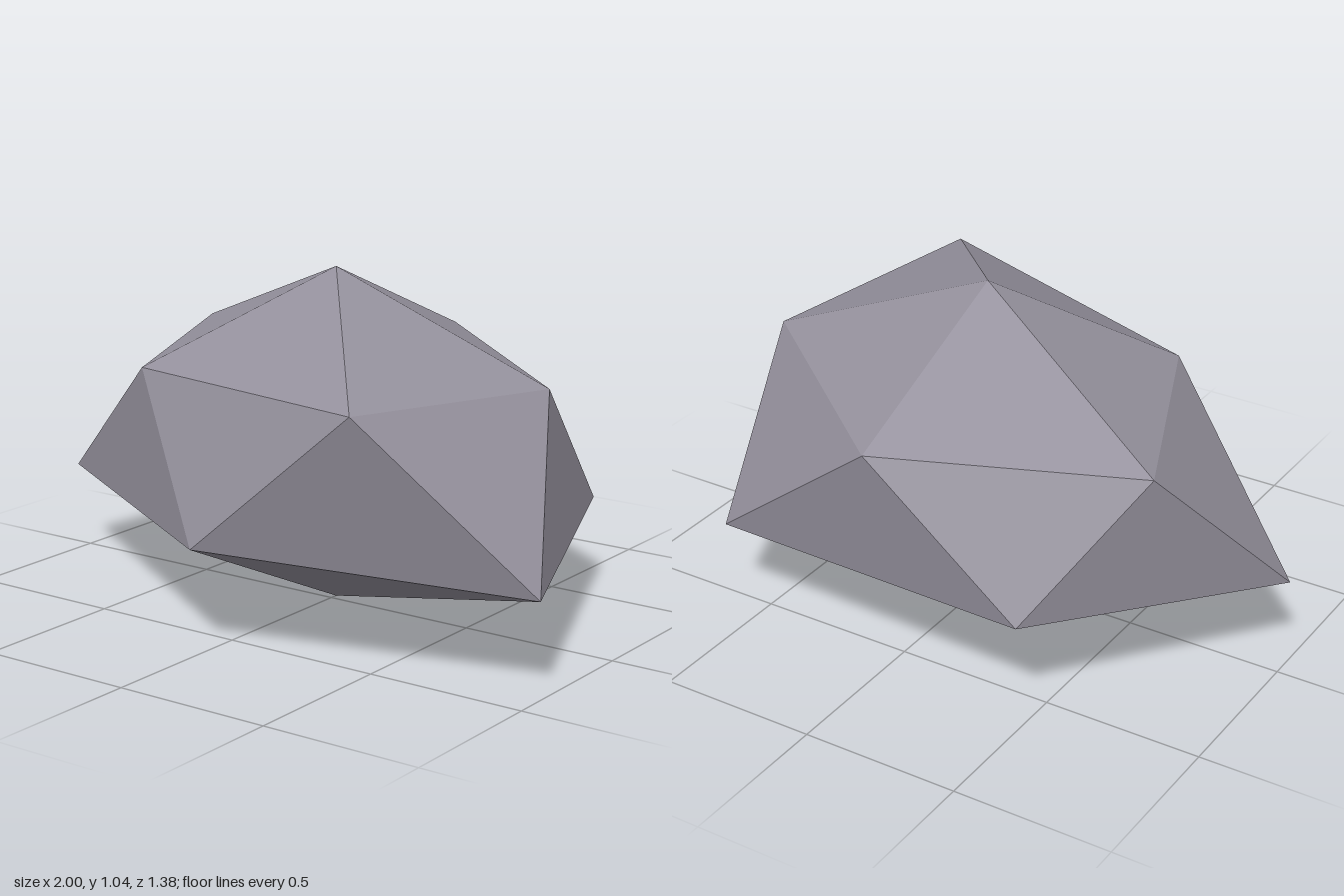
import * as THREE from 'three';

export function createModel() {
  const group = new THREE.Group();
  group.name = 'boulder';

  const stone = new THREE.MeshStandardMaterial({ color: 0x96929e, flatShading: true });
  stone.name = 'grey stone';

  // Two staggered rings of corners, running front, left, back, right, between two tips
  const top = [0, 1.045, -0.025];
  const bottom = [0, 0, -0.025];
  const upper = [
    [0.545, 0.79, 0.67], [0.72, 0.75, -0.085], [0, 0.765, -0.69],
    [-0.755, 0.757, -0.365], [-0.44, 0.745, 0.37],
  ];
  const lower = [
    [1, 0.287, 0.41], [0.6, 0.295, -0.575], [-0.49, 0.34, -0.66],
    [-1, 0.287, 0.05], [0, 0.325, 0.69],
  ];

  // Cap, zigzag side band and underside
  const positions = [];
  const face = (a, b, c) => positions.push(...a, ...b, ...c);
  for (let i = 0; i < 5; i++) {
    const j = (i + 1) % 5;
    face(top, upper[i], upper[j]);
    face(upper[i], lower[i], upper[j]);
    face(lower[i], lower[j], upper[j]);
    face(bottom, lower[j], lower[i]);
  }

  const geometry = new THREE.BufferGeometry();
  geometry.setAttribute('position', new THREE.Float32BufferAttribute(positions, 3));
  geometry.computeVertexNormals();

  const rock = new THREE.Mesh(geometry, stone);
  rock.name = 'rock';
  group.add(rock);
  return group;
}
